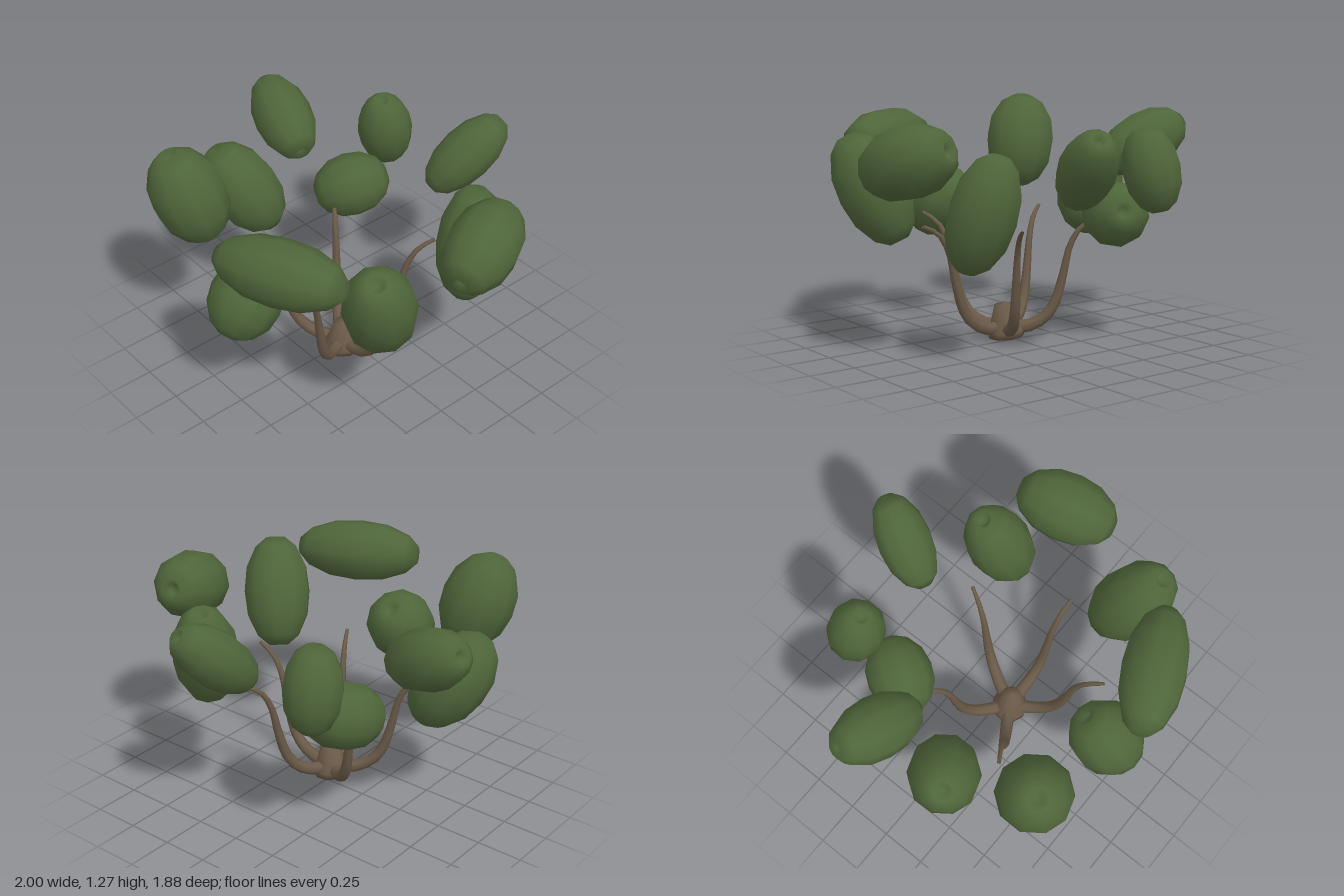
import * as THREE from 'three';

const leafGreen = new THREE.MeshStandardMaterial({ name: 'leafGreen', color: 0x4f653a });
const barkBrown = new THREE.MeshStandardMaterial({ name: 'barkBrown', color: 0x6a5a48, side: THREE.DoubleSide });

const HUB = new THREE.Vector3(0.01, 0, 0.065);

// Foliage clumps: centre, long axis, half length, half width
const CLUMPS = [
  [[0.117, 1.005, -0.73], [0.28, 0.65, -0.7], 0.265, 0.147],
  [[-0.41, 0.962, -0.615], [0.1, 0.95, 0.2], 0.222, 0.153],
  [[-0.395, 0.705, -0.355], [-0.45, -0.2, 0.85], 0.21, 0.178],
  [[-0.757, 1.055, -0.167], [-0.87, 0.4, -0.2], 0.264, 0.162],
  [[-0.675, 0.78, 0.185], [-0.43, 0.82, 0.37], 0.28, 0.192],
  [[-0.52, 1.017, 0.64], [-0.25, 0.93, 0.25], 0.268, 0.2],
  [[0.02, 0.7, 0.7], [0.1, -0.7, 0.62], 0.212, 0.192],
  [[0.34, 1.067, 0.718], [0.9, 0, -0.42], 0.344, 0.17],
  [[0.655, 0.847, 0.365], [0.31, 0.89, 0.34], 0.31, 0.19],
  [[0.79, 1.04, -0.185], [-0.32, 0.27, -0.9], 0.272, 0.186],
  [[0.498, 0.785, -0.4], [-0.17, 0.95, -0.25], 0.305, 0.178],
];

// Rounded clump with a small recess at both ends
function clumpGeometry() {
  const half = [[1, 0], [0.92, 0.44], [0.63, 0.82], [0.29, 0.99], [0.14, 0.86], [0, 0.86]];
  const profile = [
    ...half.slice(1).reverse().map(([r, y]) => new THREE.Vector2(r, -y)),
    ...half.map(([r, y]) => new THREE.Vector2(r, y)),
  ];
  return new THREE.LatheGeometry(profile, 10);
}

// Tube whose radius shrinks from r0 to r1 along the curve
function taperedTube(curve, r0, r1, steps, sides) {
  const geo = new THREE.TubeGeometry(curve, steps, 1, sides);
  const pos = geo.attributes.position;
  const v = new THREE.Vector3();
  for (let i = 0; i < pos.count; i++) {
    const t = Math.floor(i / (sides + 1)) / steps;
    const centre = curve.getPointAt(t);
    v.fromBufferAttribute(pos, i).sub(centre).multiplyScalar(THREE.MathUtils.lerp(r0, r1, t)).add(centre);
    pos.setXYZ(i, v.x, v.y, v.z);
  }
  geo.computeBoundingSphere();
  return geo;
}

export function createModel() {
  const group = new THREE.Group();
  group.name = 'tree';

  // Trunk stump: flared base narrowing to a blunt top
  const stump = [[0, 0.025], [0.1, 0.025], [0.103, 0.06], [0.08, 0.1], [0.05, 0.2], [0, 0.21]];
  const trunk = new THREE.Mesh(
    new THREE.LatheGeometry(stump.map(([r, y]) => new THREE.Vector2(r, y)), 9), barkBrown);
  trunk.name = 'trunk';
  trunk.position.copy(HUB);
  trunk.rotation.z = -0.1;
  group.add(trunk);

  // Five branches sharing one outline: fraction of reach, height
  const outline = [[0, 0.07], [0.25, 0.08], [0.42, 0.125], [0.53, 0.2], [0.62, 0.35], [0.7, 0.52], [0.82, 0.62], [1, 0.67]];
  const tips = [[0.25, -0.39], [0.535, 0.075], [0.255, 0.505], [-0.43, 0.345], [-0.39, -0.22]];
  tips.forEach(([x, z], i) => {
    const curve = new THREE.CatmullRomCurve3(outline.map(([f, y]) => new THREE.Vector3(
      THREE.MathUtils.lerp(HUB.x, x, f), y, THREE.MathUtils.lerp(HUB.z, z, f))));
    const branch = new THREE.Mesh(taperedTube(curve, 0.04, 0.01, 14, 7), barkBrown);
    branch.name = `branch${i + 1}`;
    group.add(branch);
  });

  // Foliage
  const clump = clumpGeometry();
  const up = new THREE.Vector3(0, 1, 0);
  CLUMPS.forEach(([centre, axis, length, width], i) => {
    const mesh = new THREE.Mesh(clump, leafGreen);
    mesh.name = `foliage${i + 1}`;
    mesh.position.set(...centre);
    mesh.quaternion.setFromUnitVectors(up, new THREE.Vector3(...axis).normalize());
    mesh.scale.set(width, length, width);
    group.add(mesh);
  });

  return group;
}
